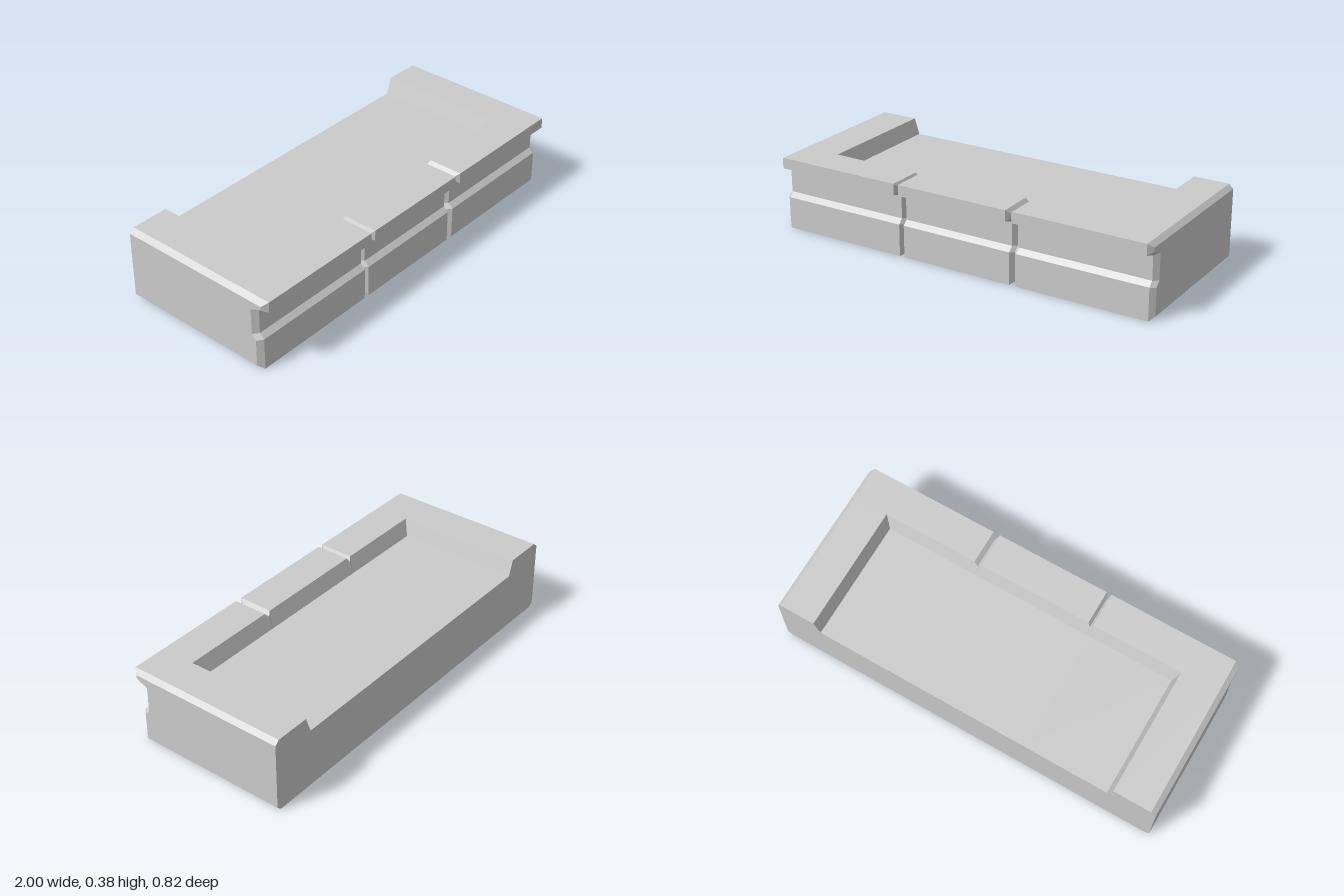
import * as THREE from 'three';

// Front edge of a panel, bottom to top, as [z, y]; and the same edge cut back at a chamfer or groove
const FACE = [[0.375, 0], [0.375, 0.16], [0.351, 0.183], [0.351, 0.3], [0.411, 0.321], [0.411, 0.375]];
const CUT = [[0.351, 0.02], [0.351, 0.156], [0.327, 0.18], [0.327, 0.312], [0.386, 0.334], [0.386, 0.354]];
const TOP = 0.375, FLOOR = 0.295, BACK = -0.411;

// Closed outline of the ledge at one x
function section({ cut = false, end = false, recess = false, lip = 0.206 }) {
  const top = cut ? 0.354 : TOP;
  const deck = recess ? FLOOR : top;
  return [
    ...(cut ? CUT : FACE),
    [recess && cut ? 0.226 : 0.235, top], // inner rim
    [lip, deck],                          // front of the recess floor
    [BACK, deck],
    [BACK, end ? 0.02 : 0],
  ];
}

function loft(stations) {
  const rings = stations.map(([x, opts]) => section(opts).map(([z, y]) => new THREE.Vector3(x, y, z)));
  const pos = [];
  const tri = (a, b, c) => {
    const area = b.clone().sub(a).cross(c.clone().sub(a)).length();
    if (area > 1e-8) for (const p of [a, b, c]) pos.push(p.x, p.y, p.z);
  };
  // skin between neighbouring outlines
  for (let s = 0; s < rings.length - 1; s++) {
    const r = rings[s], q = rings[s + 1], n = r.length;
    for (let i = 0; i < n; i++) {
      const j = (i + 1) % n;
      tri(r[i], q[i], q[j]);
      tri(r[i], q[j], r[j]);
    }
  }
  // end caps
  const first = rings[0], last = rings[rings.length - 1];
  const flat = first.map((p) => new THREE.Vector2(p.z, p.y));
  for (const [a, b, c] of THREE.ShapeUtils.triangulateShape(flat, [])) {
    tri(first[a], first[b], first[c]);
    tri(last[a], last[c], last[b]);
  }
  const geo = new THREE.BufferGeometry();
  geo.setAttribute('position', new THREE.Float32BufferAttribute(pos, 3));
  geo.computeVertexNormals();
  return geo;
}

export function createModel() {
  const group = new THREE.Group();
  group.name = 'stoneLedge';

  // V-shaped joint between two panels
  const groove = (a, mid, b) => [
    [a, { recess: true }], [mid, { recess: true, cut: true }], [b, { recess: true }],
  ];

  const stations = [
    [-1, { cut: true, end: true }],
    [-0.975, {}],
    [-0.783, { lip: 0.235 }],       // sloped wall of the recess
    [-0.757, { recess: true }],
    ...groove(-0.323, -0.31, -0.297),
    ...groove(0.28, 0.296, 0.316),
    [0.773, { recess: true }],
    [0.802, { lip: 0.235 }],
    [0.978, {}],
    [1, { cut: true, end: true }],
  ];

  const ledge = new THREE.Mesh(
    loft(stations),
    new THREE.MeshStandardMaterial({ color: 0xcccccc, flatShading: true }),
  );
  ledge.name = 'panelledLedge';
  group.add(ledge);
  return group;
}
